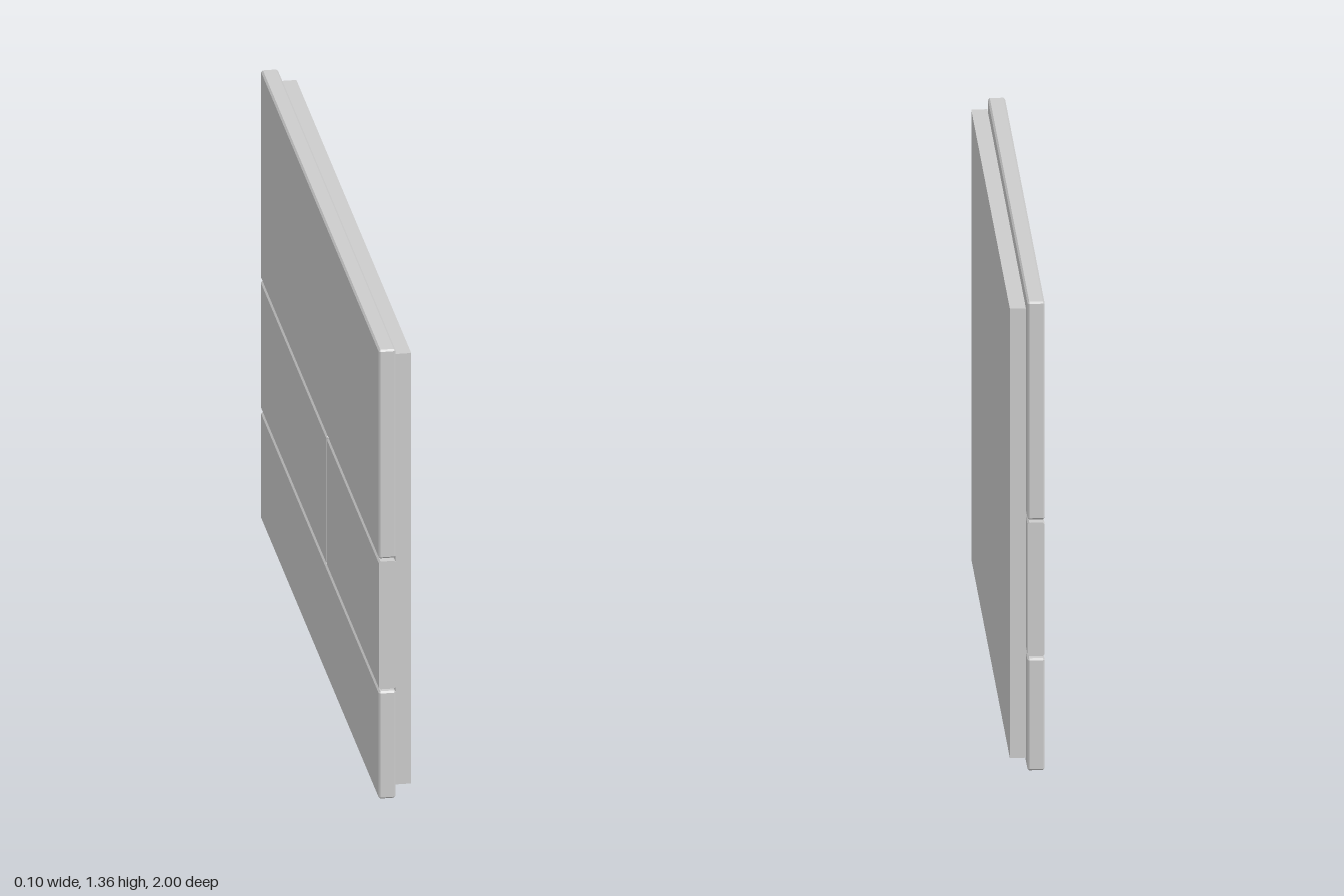
import * as THREE from 'three';
import { ConvexGeometry } from 'three/addons/geometries/ConvexGeometry.js';

const material = new THREE.MeshStandardMaterial({ color: 0xcccccc, flatShading: true });

// Box between two corners with chamfered edges; each z end may be left square.
function chamferedBox(min, max, bevel, bevelBack = bevel, bevelFront = bevel) {
  const points = [];
  for (const sx of [0, 1]) for (const sy of [0, 1]) for (const sz of [0, 1]) {
    const bz = sz ? bevelFront : bevelBack;
    const corner = (ix, iy, iz) => new THREE.Vector3(
      sx ? max[0] - ix : min[0] + ix,
      sy ? max[1] - iy : min[1] + iy,
      sz ? max[2] - iz : min[2] + iz);
    points.push(corner(0, bevel, bz), corner(bevel, 0, bz));
    if (bz > 0) points.push(corner(bevel, bevel, 0));
  }
  return new ConvexGeometry(points);
}

export function createModel() {
  const group = new THREE.Group();
  const add = (name, geometry) => {
    const mesh = new THREE.Mesh(geometry, material);
    mesh.name = name;
    group.add(mesh);
  };
  const B = 0.005, X0 = -0.049, X1 = -0.001, JOINT = 0.11;

  // Facing panels: full-width top and bottom, split middle row
  add('bottomPanel', chamferedBox([X0, 0, -1], [X1, 0.326, 1], B));
  add('middlePanelFront', chamferedBox([X0, 0.334, JOINT + 0.004], [X1, 0.722, 1], B, B, 0));
  add('middlePanelBack', chamferedBox([X0, 0.334, -1], [X1, 0.722, JOINT - 0.004], B, 0, B));
  add('topPanel', chamferedBox([X0, 0.73, -1], [X1, 1.364, 1], B));

  // Plain backing board, slightly smaller than the facing
  const board = new THREE.BoxGeometry(0.045, 1.308, 1.945);
  board.translate(0.0245, 0.684, 0);
  add('backingBoard', board);

  return group;
}
